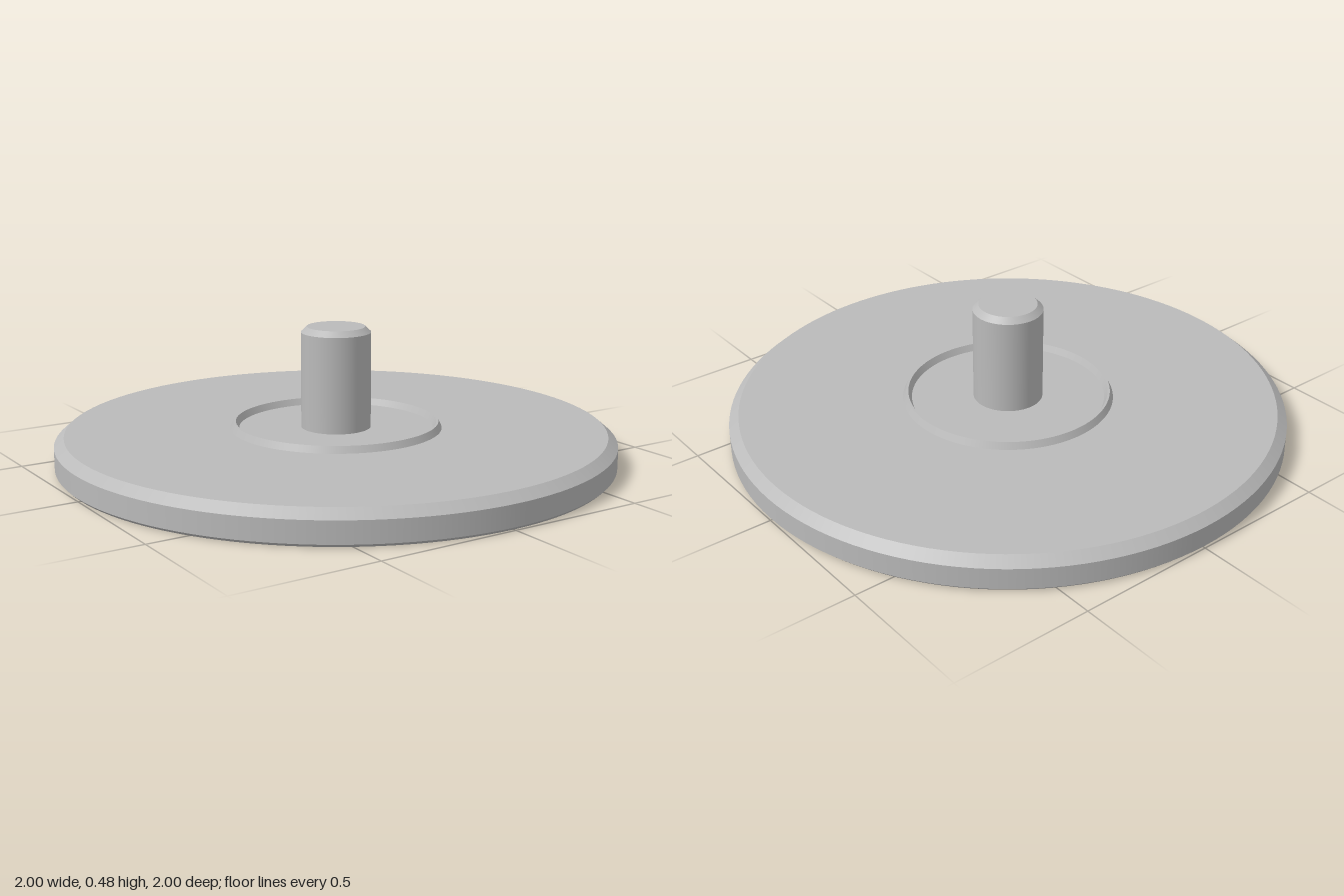
import * as THREE from 'three';
import { mergeGeometries } from 'three/addons/utils/BufferGeometryUtils.js';

// Revolve a profile (bottom to top, outside first), smooth around but sharp at each corner
function turned(name, profile, material) {
  const bands = [];
  for (let i = 0; i < profile.length - 1; i++) {
    const pair = [profile[i], profile[i + 1]].map(([r, y]) => new THREE.Vector2(r, y));
    bands.push(new THREE.LatheGeometry(pair, 128));
  }
  const mesh = new THREE.Mesh(mergeGeometries(bands), material);
  mesh.name = name;
  return mesh;
}

export function createModel() {
  const group = new THREE.Group();
  group.name = 'discWithPin';
  const steel = new THREE.MeshStandardMaterial({ color: 0xbababa });
  steel.name = 'grey steel';

  const top = 0.115;
  // Flat disc with a broad upper chamfer and a fine lower one
  group.add(turned('baseDisc', [
    [0, 0], [0.99, 0], [1, 0.01], [1, 0.085], [0.965, top], [0, top],
  ], steel));

  // Narrow raised rim around the centre
  group.add(turned('raisedRing', [
    [0.38, top], [0.368, 0.139], [0.36, 0.139], [0.348, top],
  ], steel));

  // Centre pin with a chamfered end
  group.add(turned('centrePin', [
    [0.125, top], [0.125, 0.46], [0.104, 0.48], [0, 0.48],
  ], steel));

  return group;
}
